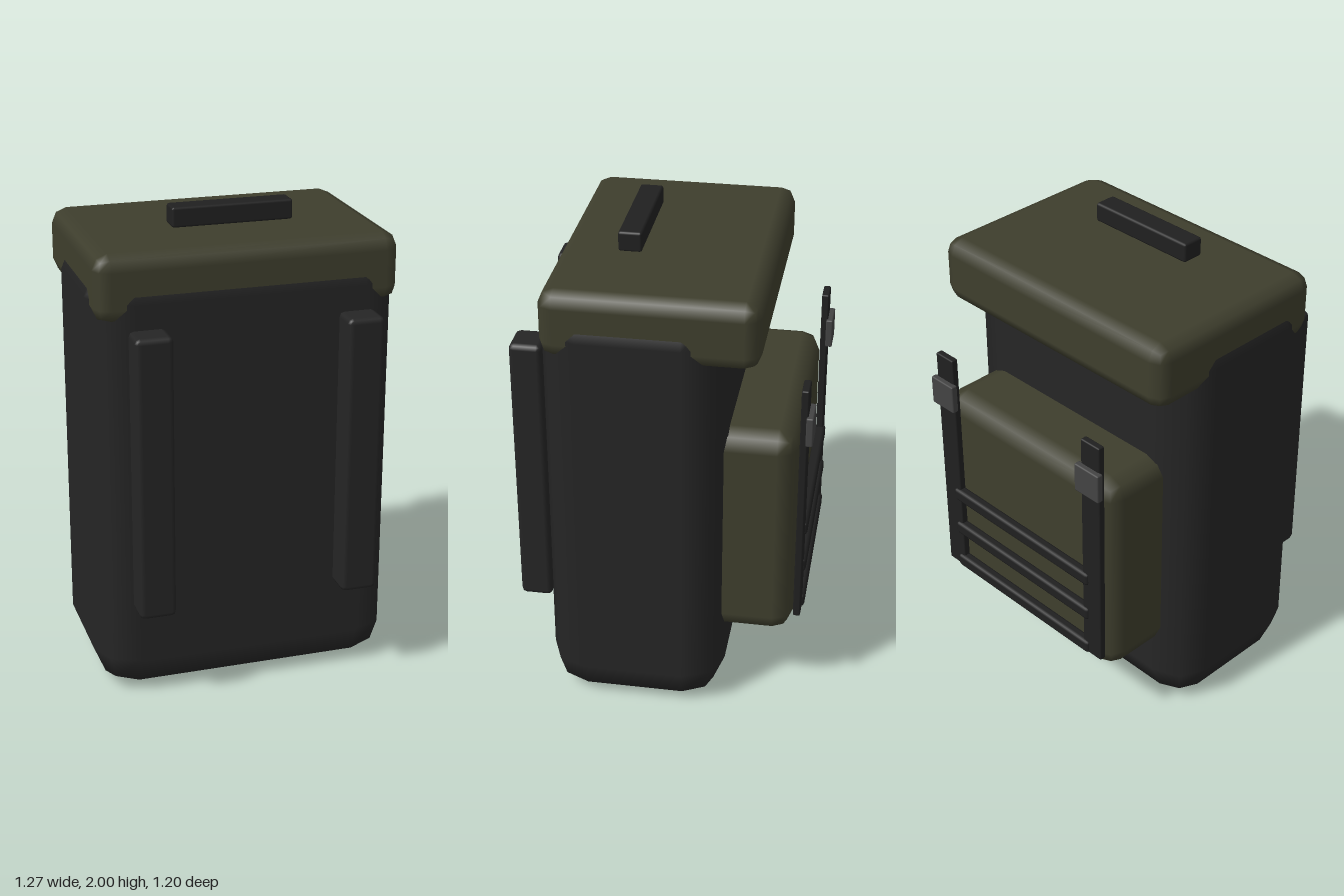
import * as THREE from 'three';
import { RoundedBoxGeometry } from 'three/addons/geometries/RoundedBoxGeometry.js';

export function createModel() {
  const model = new THREE.Group();
  model.name = 'backpack';

  const mat = (name, color) => {
    const m = new THREE.MeshStandardMaterial({ color });
    m.name = name;
    return m;
  };
  const black = mat('black fabric', 0x252525);
  const strapBlack = mat('strap black', 0x202020);
  const olive = mat('olive canvas', 0x3e3e2d);
  const grey = mat('buckle grey', 0x434343);

  // Soft-edged box given by its extents along each axis
  function box(name, material, [x0, x1], [y0, y1], [z0, z1], radius) {
    const geometry = new RoundedBoxGeometry(x1 - x0, y1 - y0, z1 - z0, 1, radius);
    const mesh = new THREE.Mesh(geometry, material);
    mesh.position.set((x0 + x1) / 2, (y0 + y1) / 2, (z0 + z1) / 2);
    mesh.name = name;
    model.add(mesh);
  }

  // Main bag, lid and rear pocket
  box('body', black, [-0.637, 0.637], [0, 1.865], [-0.267, 0.47], 0.165);
  box('lid', olive, [-0.622, 0.622], [1.617, 1.893], [-0.403, 0.458], 0.063);
  box('rearPocket', olive, [-0.503, 0.503], [0.333, 1.28], [-0.545, -0.1], 0.08);

  // Carry handle above the lid
  box('handle', strapBlack, [-0.25, 0.25], [1.918, 2], [0.112, 0.207], 0.01);

  // Paired straps and buckles
  for (const side of [-1, 1]) {
    const span = (a, b) => (side > 0 ? [a, b] : [-b, -a]);
    const label = side > 0 ? 'left' : 'right';
    box(label + 'ShoulderStrap', black, span(0.353, 0.505), [0.42, 1.605], [0.468, 0.602], 0.022);
    box(label + 'RearStrap', strapBlack, span(0.377, 0.478), [0.42, 1.487], [-0.58, -0.55], 0.006);
    box(label + 'Buckle', grey, span(0.362, 0.493), [1.248, 1.375], [-0.602, -0.573], 0.006);
  }

  // Horizontal webbing across the rear straps
  for (const y of [0.448, 0.628, 0.808]) {
    box('webbing', strapBlack, [-0.412, 0.412], [y - 0.03, y + 0.03], [-0.59, -0.546], 0.014);
  }

  return model;
}
